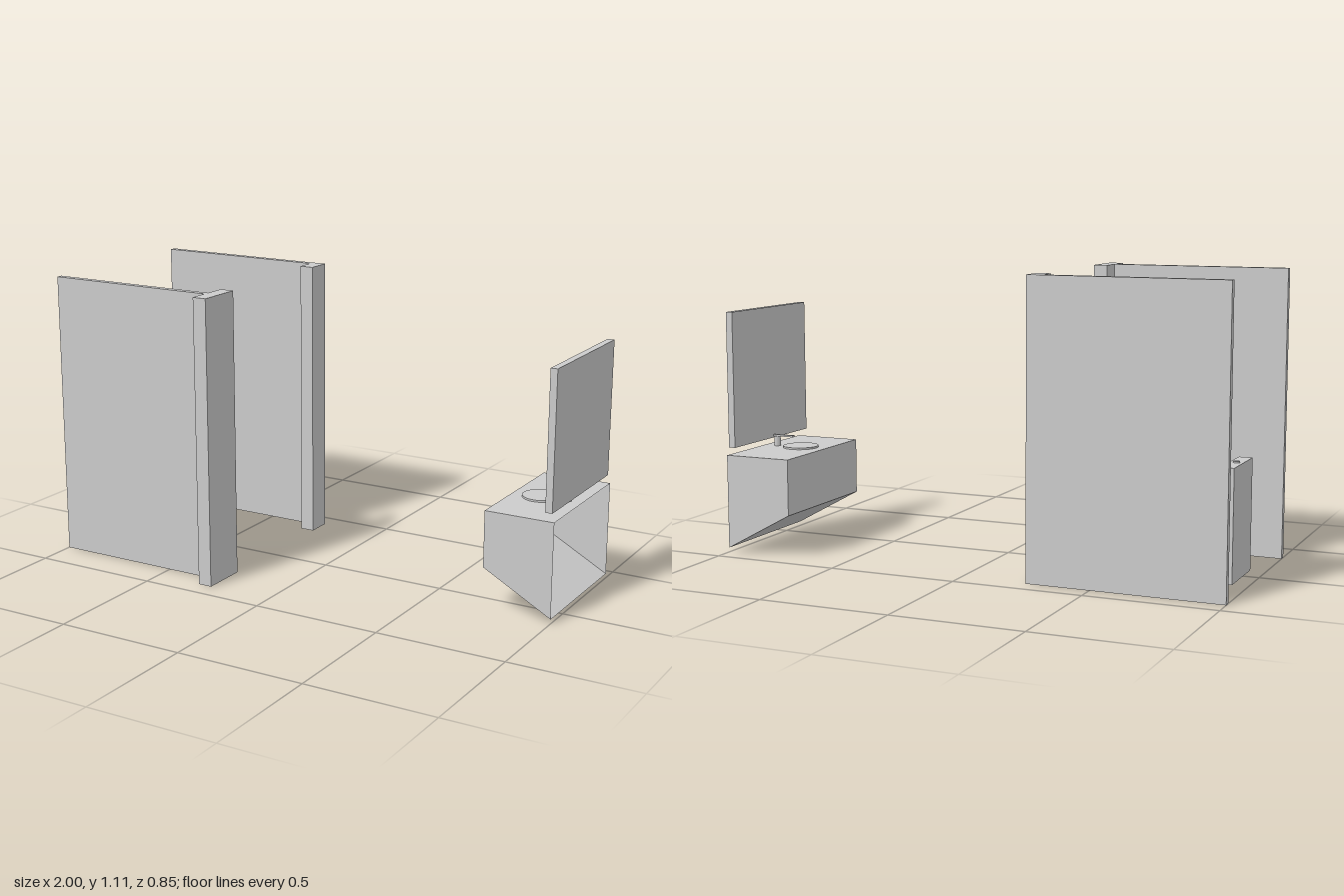
import * as THREE from 'three';

const material = new THREE.MeshStandardMaterial({ color: 0xcccccc, flatShading: true, side: THREE.DoubleSide });

function add(parent, name, geometry) {
  const mesh = new THREE.Mesh(geometry, material);
  mesh.name = name;
  parent.add(mesh);
  return mesh;
}

// Box given by its extents on each axis
function box(parent, name, [x0, x1], [y0, y1], [z0, z1]) {
  const mesh = add(parent, name, new THREE.BoxGeometry(x1 - x0, y1 - y0, z1 - z0));
  mesh.position.set((x0 + x1) / 2, (y0 + y1) / 2, (z0 + z1) / 2);
  return mesh;
}

function disc(parent, name, radius, height, x, y, z, sides = 32) {
  add(parent, name, new THREE.CylinderGeometry(radius, radius, height, sides)).position.set(x, y, z);
}

// Flat-faced geometry from polygons whose corners run counterclockwise from outside
function fromFaces(faces) {
  const positions = [];
  for (const face of faces) {
    for (let i = 1; i < face.length - 1; i++) positions.push(...face[0], ...face[i], ...face[i + 1]);
  }
  const geometry = new THREE.BufferGeometry();
  geometry.setAttribute('position', new THREE.Float32BufferAttribute(positions, 3));
  geometry.computeVertexNormals();
  return geometry;
}

// Horizontal outline (x, z) extruded upwards
function extrudeUp(outline, y0, y1) {
  const shape = new THREE.Shape(outline.map(([x, z]) => new THREE.Vector2(x, -z)));
  const geometry = new THREE.ExtrudeGeometry(shape, { depth: y1 - y0, bevelEnabled: false });
  return geometry.rotateX(-Math.PI / 2).translate(0, y0, 0);
}

function makeStall() {
  const stall = new THREE.Group();
  stall.name = 'stall';
  const height = [0, 1.11];
  box(stall, 'backPartition', [-1, -0.31], height, [-0.425, -0.4]);
  box(stall, 'frontPartition', [-1, -0.31], height, [0.325, 0.35]);
  box(stall, 'backPost', [-0.31, -0.255], height, [-0.425, -0.327]);
  box(stall, 'frontPost', [-0.31, -0.255], height, [0.243, 0.425]);
  // Paper holder with chamfered corners
  const outline = [[-0.49, 0.325], [-0.37, 0.325], [-0.37, 0.305], [-0.4, 0.28], [-0.46, 0.28], [-0.49, 0.305]];
  add(stall, 'paperHolder', extrudeUp(outline, 0.295, 0.37));
  return stall;
}

function makeToilet() {
  const toilet = new THREE.Group();
  toilet.name = 'toilet';
  const zc = -0.025;
  const rimY = 0.225;

  // Bowl: one outline, its nose drawn back towards the floor; open underneath
  const half = [[-0.94, 0.122], [-0.62, 0.122], [-0.605, 0.105], [-0.59, 0.075], [-0.575, 0.035]];
  const outline = [...half, [-0.57, 0], ...half.map(([x, z]) => [x, -z]).reverse()];
  const ring = (y, setback) => outline.map(([x, z], i) =>
    [i === 0 || i === outline.length - 1 ? x : x - setback, y, zc + z]);
  const rings = [ring(0, 0.1), ring(0.14, 0), ring(rimY, 0)];
  const faces = [rings[2]];
  for (let k = 0; k < 2; k++) {
    outline.forEach((_, i) => {
      const j = (i + 1) % outline.length;
      faces.push([rings[k][i], rings[k][j], rings[k + 1][j], rings[k + 1][i]]);
    });
  }
  add(toilet, 'bowl', fromFaces(faces));

  // Lid with rounded corners
  const [x0, x1, z, r] = [-0.845, -0.61, 0.118, 0.035];
  const lid = new THREE.Shape();
  lid.moveTo(x0 + r, -z).lineTo(x1 - r, -z).quadraticCurveTo(x1, -z, x1, -z + r);
  lid.lineTo(x1, z - r).quadraticCurveTo(x1, z, x1 - r, z);
  lid.lineTo(x0 + r, z).quadraticCurveTo(x0, z, x0, z - r);
  lid.lineTo(x0, -z + r).quadraticCurveTo(x0, -z, x0 + r, -z);
  const lidGeometry = new THREE.ExtrudeGeometry(lid, { depth: 0.012, bevelEnabled: false, curveSegments: 6 });
  add(toilet, 'lid', lidGeometry.rotateX(-Math.PI / 2)).position.set(0, rimY, zc);

  box(toilet, 'tank', [-0.94, -0.888], [rimY, 0.425], [zc - 0.122, zc + 0.122]);
  disc(toilet, 'flushButton', 0.013, 0.006, -0.914, 0.427, zc, 16);
  return toilet;
}

function makeWashstand() {
  const washstand = new THREE.Group();
  washstand.name = 'washstand';
  // Cabinet shell, open towards the wall
  const profile = [[1, 0.382], [0.73, 0.382], [0.73, 0.165], [1, 0.017]];
  const [z0, z1] = [-0.425, 0.113];
  const faces = [
    profile.map(([x, y]) => [x, y, z1]),
    profile.map(([x, y]) => [x, y, z0]).reverse(),
  ];
  for (let i = 0; i < 3; i++) {
    const [a, b] = [profile[i], profile[i + 1]];
    faces.push([[...a, z1], [...a, z0], [...b, z0], [...b, z1]]);
  }
  add(washstand, 'cabinet', fromFaces(faces));

  disc(washstand, 'basin', 0.07, 0.01, 0.84, 0.384, -0.14);
  disc(washstand, 'tapPost', 0.013, 0.04, 0.945, 0.4, -0.145, 16);
  box(washstand, 'tapSpout', [0.87, 0.958], [0.42, 0.427], [-0.152, -0.14]);
  box(washstand, 'mirror', [0.963, 0.99], [0.413, 0.937], [-0.425, 0.111]);
  return washstand;
}

export function createModel() {
  const model = new THREE.Group();
  model.name = 'washroom';
  model.add(makeStall(), makeToilet(), makeWashstand());
  return model;
}
